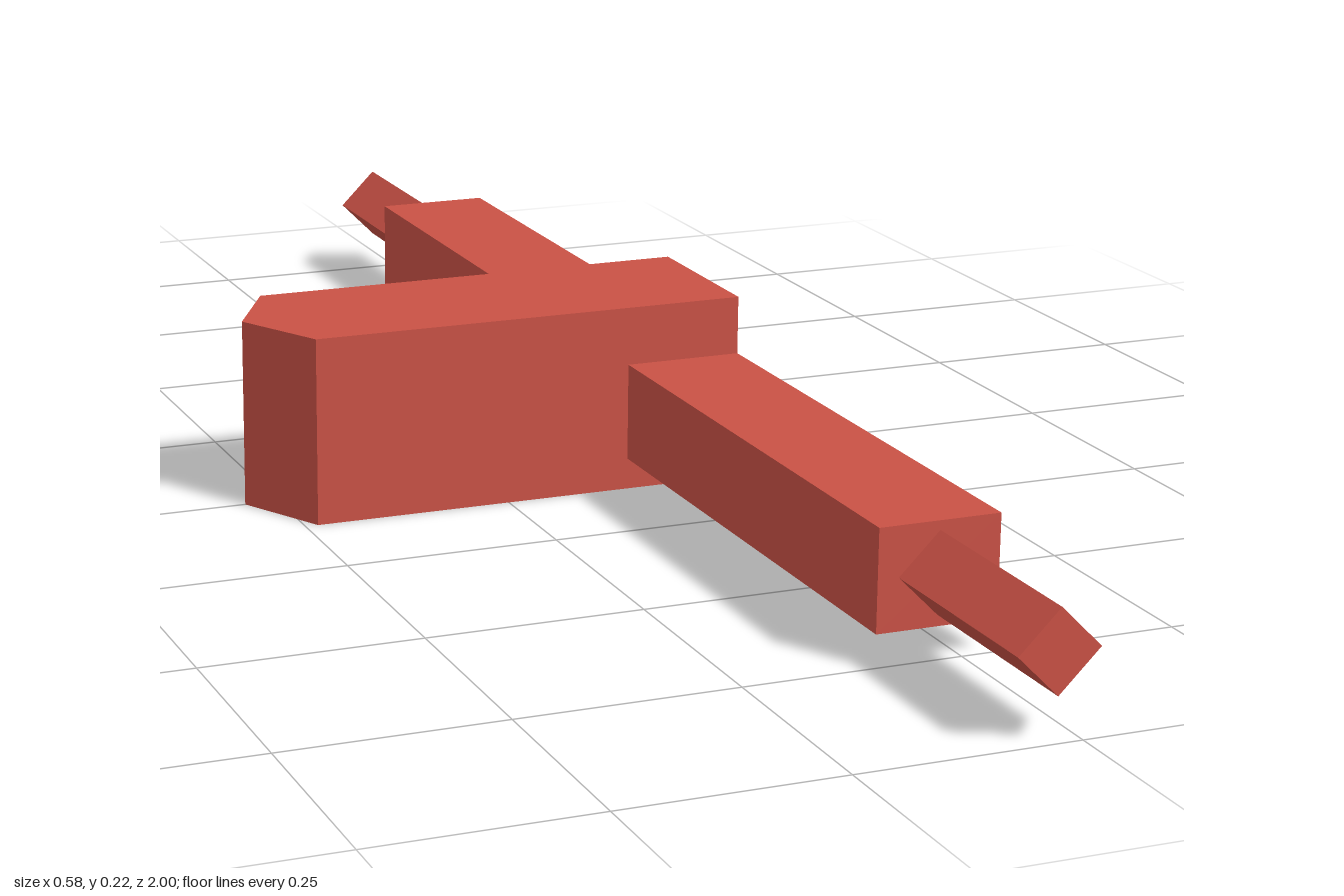
import * as THREE from 'three';

export function createModel() {
  const model = new THREE.Group();
  const red = new THREE.MeshStandardMaterial({ color: 0xc95145, flatShading: true });
  red.name = 'red';

  const add = (name, geometry, x, y, z) => {
    const mesh = new THREE.Mesh(geometry, red);
    mesh.name = name;
    mesh.position.set(x, y, z);
    model.add(mesh);
  };

  // central block with a pointed end towards -x
  const outline = new THREE.Shape([
    [0.29, -0.103], [0.29, 0.103], [-0.235, 0.103], [-0.29, 0], [-0.235, -0.103],
  ].map(([x, y]) => new THREE.Vector2(x, y)));
  const block = new THREE.ExtrudeGeometry(outline, { depth: 0.221, bevelEnabled: false });
  block.rotateX(-Math.PI / 2);
  add('pointedBlock', block, 0, 0, 0);

  // mirrored arms, each ending in a diamond-section pin
  for (const [side, s] of [['front', 1], ['back', -1]]) {
    add(side + 'Arm', new THREE.BoxGeometry(0.14, 0.115, 0.647), 0.22, 0.0945, s * 0.4265);
    const pin = new THREE.CylinderGeometry(0.046, 0.046, 0.25, 4);
    pin.rotateX(Math.PI / 2);
    add(side + 'Pin', pin, 0.22, 0.0955, s * 0.875);
  }
  return model;
}
